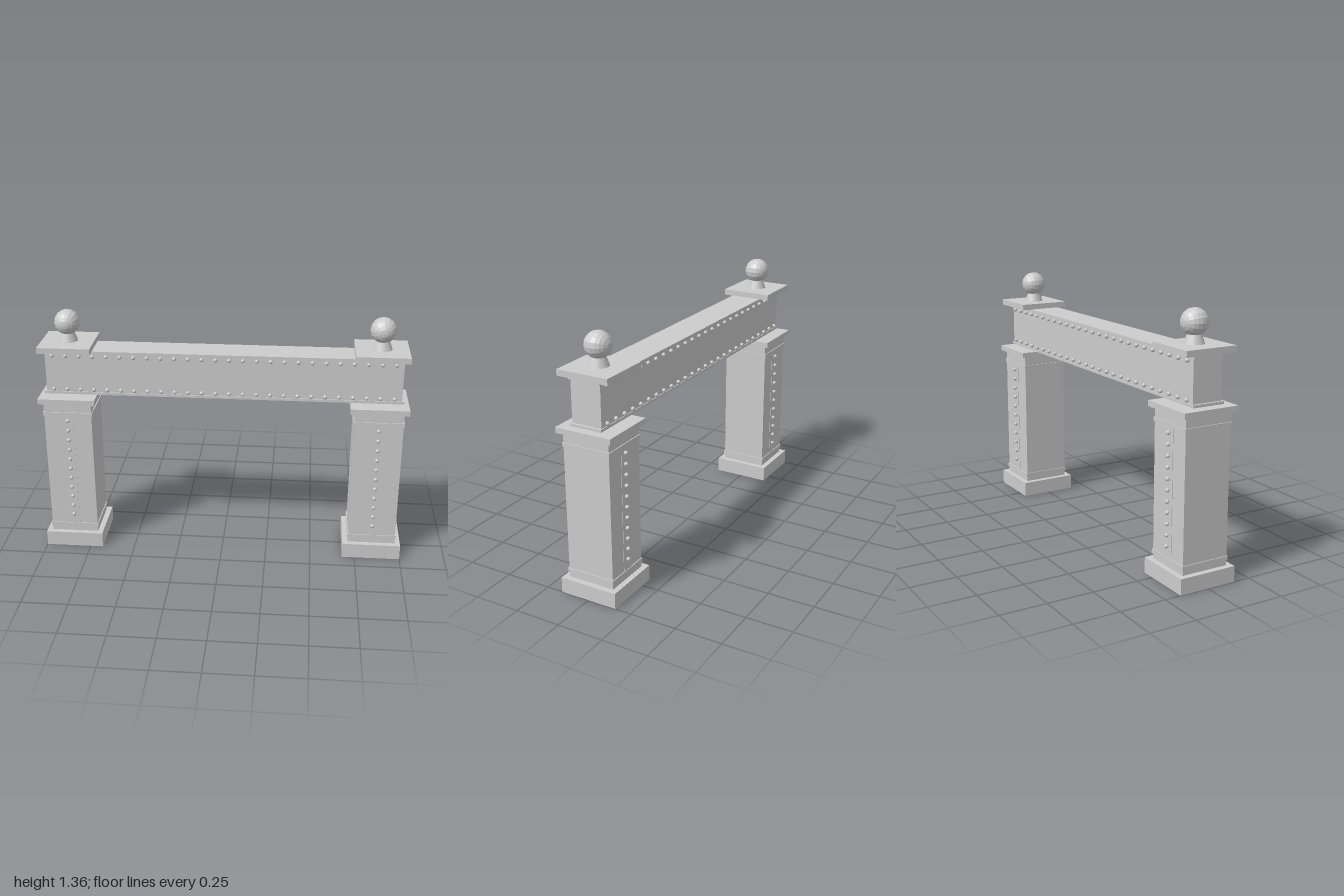
import * as THREE from 'three';

export function createModel() {
  const root = new THREE.Group();
  root.name = 'gateway';
  const stone = new THREE.MeshStandardMaterial({ color: 0xcccccc });
  stone.name = 'light grey';

  const add = (parent, name, geometry, x, y, z) => {
    const mesh = new THREE.Mesh(geometry, stone);
    mesh.name = name;
    mesh.position.set(x, y, z);
    parent.add(mesh);
    return mesh;
  };
  // Box centred on x and z, spanning y0 to y1
  const slab = (parent, name, halfX, y0, y1, halfZ) =>
    add(parent, name, new THREE.BoxGeometry(halfX * 2, y1 - y0, halfZ * 2), 0, (y0 + y1) / 2, 0);

  const rivetGeo = new THREE.SphereGeometry(0.011, 10, 8);
  // Faceted ball with its poles facing front and back
  const ballGeo = new THREE.SphereGeometry(0.069, 16, 10).rotateX(Math.PI / 2).toNonIndexed();
  ballGeo.computeVertexNormals();
  const neckGeo = new THREE.CylinderGeometry(0.033, 0.053, 0.055, 16);

  // Pillars with their caps and ball finials
  for (const side of [-1, 1]) {
    const pillar = new THREE.Group();
    pillar.name = side > 0 ? 'leftPillar' : 'rightPillar';
    pillar.position.x = side * 0.84;
    root.add(pillar);

    slab(pillar, 'base', 0.16, 0, 0.084, 0.16);
    slab(pillar, 'shaft', 0.13, 0.084, 0.87, 0.13);
    slab(pillar, 'lowerBand', 0.135, 0.112, 0.134, 0.135);
    slab(pillar, 'upperBand', 0.135, 0.795, 0.817, 0.135);
    slab(pillar, 'rivetStrip', 0.03, 0.134, 0.795, 0.132);
    slab(pillar, 'cap', 0.155, 0.869, 0.899, 0.155);

    for (const z of [-0.139, 0.139])
      for (let i = 0; i < 11; i++)
        add(pillar, 'pillarRivet', rivetGeo, 0, 0.194 + i * 0.0576, z);

    slab(pillar, 'topPlate', 0.142, 1.155, 1.187, 0.142);
    add(pillar, 'finialNeck', neckGeo, 0, 1.2135, 0);
    add(pillar, 'finialBall', ballGeo, 0, 1.29, 0);
  }

  // Riveted beam spanning the pillars
  const beam = new THREE.Group();
  beam.name = 'beam';
  root.add(beam);
  slab(beam, 'beamBody', 0.955, 0.915, 1.15, 0.083);
  slab(beam, 'bottomFlange', 0.968, 0.909, 0.923, 0.088);
  slab(beam, 'topFlange', 0.968, 1.143, 1.156, 0.088);
  for (const z of [-0.09, 0.09])
    for (const y of [0.938, 1.128])
      for (let i = 0; i < 26; i++)
        add(beam, 'beamRivet', rivetGeo, -0.914 + i * 0.07312, y, z);

  return root;
}
